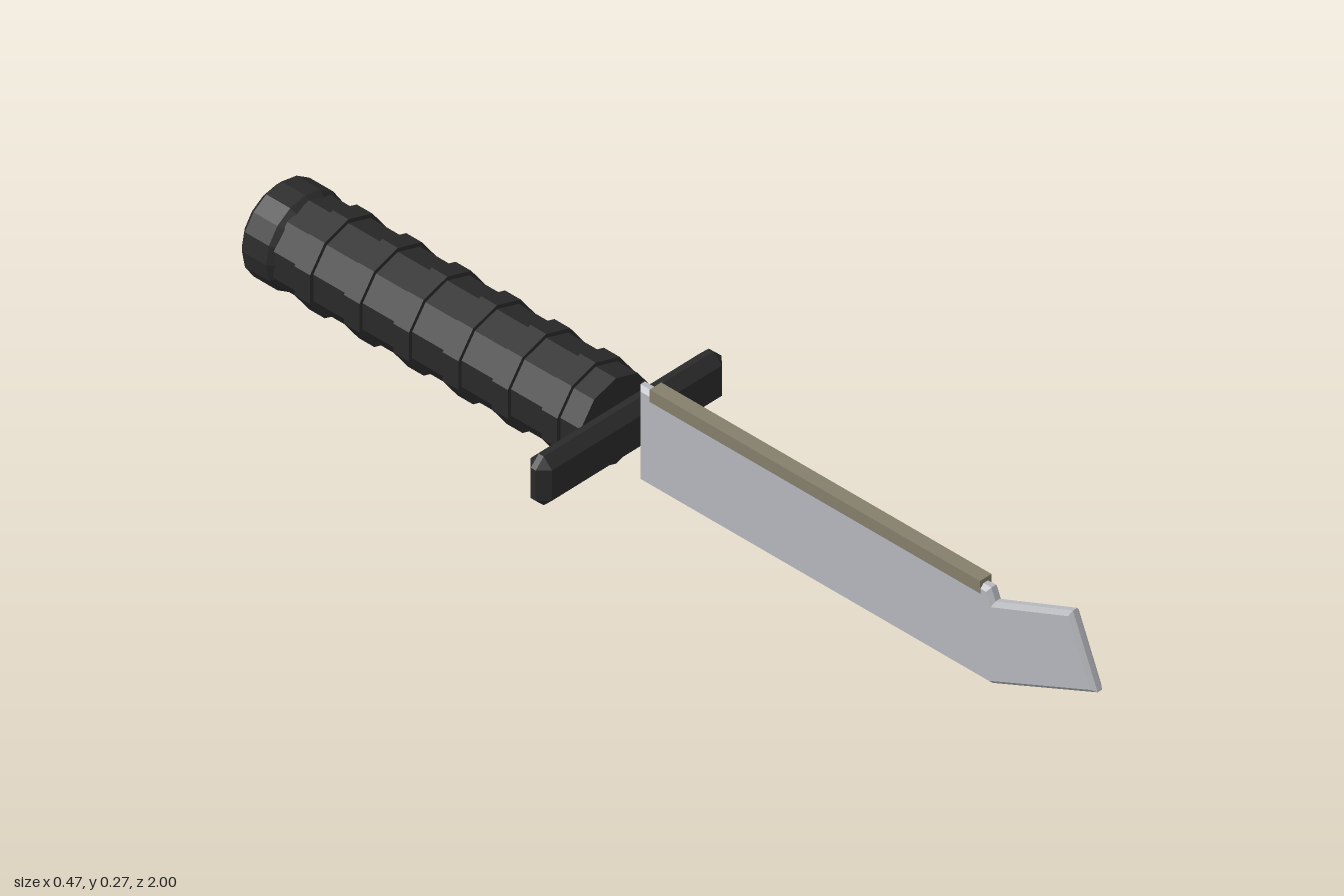
import * as THREE from 'three';
import { ConvexGeometry } from 'three/addons/geometries/ConvexGeometry.js';

const mat = (name, color) =>
  new THREE.MeshStandardMaterial({ name, color, flatShading: true });

// Box with every edge cut at 45 degrees; a, b, c are half sizes
function chamferBox(a, b, c, d) {
  const pts = [];
  for (const x of [-1, 1]) for (const y of [-1, 1]) for (const z of [-1, 1]) {
    pts.push(
      new THREE.Vector3(x * a, y * (b - d), z * (c - d)),
      new THREE.Vector3(x * (a - d), y * b, z * (c - d)),
      new THREE.Vector3(x * (a - d), y * (b - d), z * c));
  }
  return new ConvexGeometry(pts);
}

export function createModel() {
  const steel = mat('steel', 0xb6b8bd);
  const olive = mat('olive', 0x857f6c);
  const black = mat('black', 0x2a2a2a);
  const group = new THREE.Group();
  const axisY = 0.105;

  const add = (name, geometry, material, x, y, z) => {
    const mesh = new THREE.Mesh(geometry, material);
    mesh.name = name;
    mesh.position.set(x, y, z);
    group.add(mesh);
  };

  // Blade: bevelled side outline (z, y) with an upswept tip
  const outline = new THREE.Shape([
    [-0.11, 0.016], [0.745, 0.016], [1.0, 0.128], [0.94, 0.275],
    [0.752, 0.197], [0.742, 0.222], [-0.11, 0.222],
  ].map(([z, y]) => new THREE.Vector2(z, y)));
  const bevel = 0.008, half = 0.0135;
  const blade = new THREE.ExtrudeGeometry(outline, {
    depth: 2 * (half - bevel), bevelEnabled: true, bevelSegments: 1,
    bevelSize: bevel, bevelThickness: bevel, bevelOffset: -bevel,
  });
  blade.translate(0, 0, bevel - half);
  blade.rotateY(-Math.PI / 2);
  add('blade', blade, steel, 0, 0, 0);

  // Strip along the spine
  add('spineStrip', new THREE.BoxGeometry(0.029, 0.027, 0.802), olive, 0, 0.2175, 0.322);

  // Crossguard
  add('crossguard', chamferBox(0.233, 0.053, 0.026, 0.02), black, 0, axisY, -0.15);

  // Ten-sided grip with six raised rings
  const decagon = (r, length) =>
    new THREE.CylinderGeometry(r, r, length, 10).rotateX(Math.PI / 2);
  add('grip', decagon(0.093, 0.745), black, 0, axisY, -0.5475);
  for (let i = 0; i < 6; i++) {
    add('gripRing', decagon(0.1015, 0.038), black, 0, axisY, -0.243 - i * 0.12);
  }

  // Pommel with bevelled rims
  const profile = [[0, -0.042], [0.085, -0.042], [0.099, -0.029], [0.099, 0.029], [0.088, 0.042], [0, 0.042]];
  const pommel = new THREE.LatheGeometry(profile.map(([r, h]) => new THREE.Vector2(r, h)), 16);
  pommel.rotateX(Math.PI / 2);
  add('pommel', pommel, black, 0, axisY, -0.958);

  return group;
}
